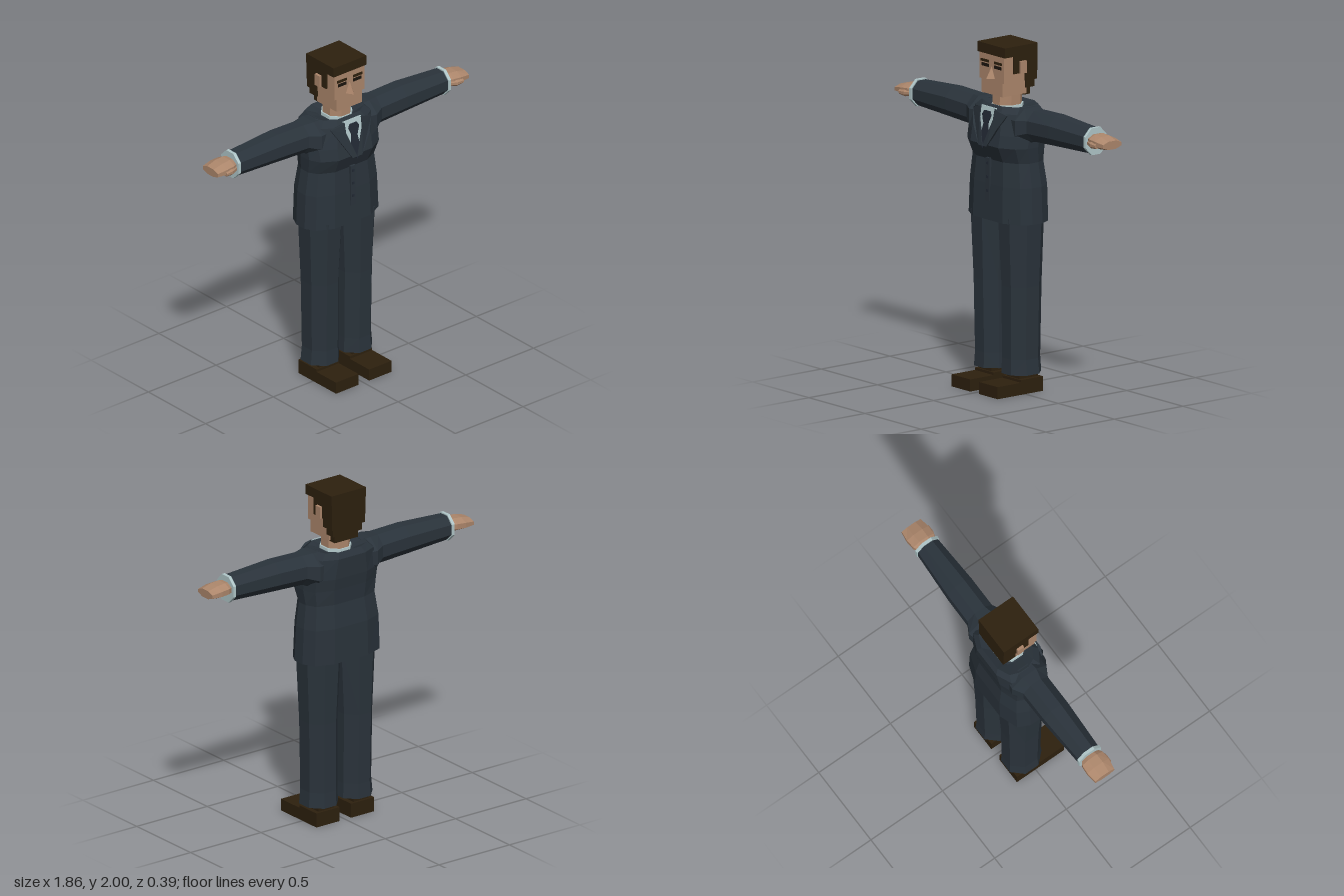
import * as THREE from 'three';

const mat = (name, color) => Object.assign(new THREE.MeshStandardMaterial({ color }), { name });

// Faceted skin through a list of rings, closed at both ends
function loft(rings) {
  const pos = [], n = rings[0].length;
  const tri = (a, b, c) => pos.push(...a, ...b, ...c);
  for (let r = 0; r < rings.length - 1; r++) {
    for (let i = 0; i < n; i++) {
      const j = (i + 1) % n, a = rings[r], b = rings[r + 1];
      tri(a[i], a[j], b[j]);
      tri(a[i], b[j], b[i]);
    }
  }
  const first = rings[0], last = rings[rings.length - 1];
  for (let i = 1; i < n - 1; i++) {
    tri(first[0], first[i + 1], first[i]);
    tri(last[0], last[i], last[i + 1]);
  }
  const g = new THREE.BufferGeometry();
  g.setAttribute('position', new THREE.Float32BufferAttribute(pos, 3));
  g.computeVertexNormals();
  return g;
}

// Octagons with flat front, top and sides
const octagon = (fn) => Array.from({ length: 8 }, (_, i) => {
  const a = (i + 0.5) * Math.PI / 4, k = 1 / Math.cos(Math.PI / 8);
  return fn(Math.cos(a) * k, Math.sin(a) * k);
});
// rows: [y, centre x, radius x, centre z, radius z]
const upright = (rows) => loft(rows.map(([y, x, rx, z, rz]) =>
  octagon((c, s) => [x + c * rx, y, z - s * rz])));
// rows: [x, centre y, radius y, centre z, radius z]
const sideways = (rows) => loft(rows.map(([x, y, ry, z, rz]) =>
  octagon((c, s) => [x, y + c * ry, z + s * rz])));

function box(x0, x1, y0, y1, z0, z1) {
  return new THREE.BoxGeometry(x1 - x0, y1 - y0, z1 - z0)
    .translate((x0 + x1) / 2, (y0 + y1) / 2, (z0 + z1) / 2);
}

// Thin cloth panel lying on the sloping chest
function chestPanel(points, offset) {
  const shape = new THREE.Shape(points.map(([x, y]) => new THREE.Vector2(x, y)));
  const g = new THREE.ExtrudeGeometry(shape, { depth: 0.007, bevelEnabled: false });
  const p = g.attributes.position;
  for (let i = 0; i < p.count; i++) {
    const bend = Math.max(0, Math.abs(p.getX(i)) - 0.105) * 0.5;
    p.setZ(i, p.getZ(i) + 0.13 - (p.getY(i) - 1.43) * 0.184 + offset - bend);
  }
  g.computeVertexNormals();
  return g;
}

// Flip a geometry to the other side of the body and restore its winding
function mirrored(geometry) {
  const g = geometry.index ? geometry.toNonIndexed() : geometry.clone();
  const p = g.attributes.position;
  for (let i = 0; i < p.count; i += 3) {
    const v = [0, 2, 1].map((k) => [-p.getX(i + k), p.getY(i + k), p.getZ(i + k)]);
    v.forEach((c, k) => p.setXYZ(i + k, ...c));
  }
  g.computeVertexNormals();
  return g;
}

export function createModel() {
  const model = new THREE.Group();
  model.name = 'suitedMan';
  const suit = mat('suit', 0x2a333b);
  const tieCloth = mat('tieCloth', 0x222934);
  const shirt = mat('shirt', 0xb0c6c8);
  const skin = mat('skin', 0xac866b);
  const brown = mat('darkBrown', 0x2d200e);
  const eyeDark = mat('eyeDark', 0x1c150e);

  const add = (name, geometry, material) => {
    const m = new THREE.Mesh(geometry, material);
    m.name = name;
    model.add(m);
  };
  const pair = (name, geometry, material) => {
    add(name + 'Left', geometry, material);
    add(name + 'Right', mirrored(geometry), material);
  };

  // Jacket body: y, half width, front z, back z
  const jacket = [
    [0.99, 0.265, 0.105, -0.187], [1.2, 0.256, 0.1, -0.185], [1.34, 0.236, 0.09, -0.167],
    [1.43, 0.247, 0.13, -0.175], [1.5, 0.25, 0.117, -0.185], [1.62, 0.21, 0.095, -0.192],
    [1.655, 0.17, 0.065, -0.172], [1.63, 0.095, 0.045, -0.13],
  ];
  add('jacketBody', loft(jacket.map(([y, w, f, b]) => {
    const d = (f - b) * 0.17;
    const half = [[0.5 * w, f], [0.87 * w, f - d], [w, f - 2.2 * d],
      [w, b + 2.2 * d], [0.87 * w, b + d * 0.8], [0.45 * w, b]];
    return [...half.map(([x, z]) => [x, y, z]),
      ...half.reverse().map(([x, z]) => [-x, y, z])];
  })), suit);

  // Shirt front, tie, lapels and button strip
  add('shirtFront', chestPanel([[0, 1.42], [0.075, 1.58], [0.065, 1.645], [-0.065, 1.645], [-0.075, 1.58]], 0), shirt);
  add('tieBlade', chestPanel([[0, 1.41], [0.035, 1.46], [0.018, 1.57], [-0.018, 1.57], [-0.035, 1.46]], 0.004), tieCloth);
  add('tieKnot', chestPanel([[0.02, 1.555], [0.038, 1.6], [0.025, 1.622], [-0.025, 1.622], [-0.038, 1.6], [-0.02, 1.555]], 0.009), tieCloth);
  pair('lapel', chestPanel([[0, 1.425], [0.035, 1.425], [0.105, 1.535], [0.15, 1.615], [0.105, 1.632], [0.062, 1.642], [0.06, 1.58]], 0.008), suit);
  add('buttonStrip', box(-0.017, 0.017, 1.1, 1.35, 0.088, 0.107), suit);
  for (const y of [1.16, 1.24, 1.32]) add('button', box(-0.008, 0.008, y - 0.008, y + 0.008, 0.102, 0.111), tieCloth);
  add('shirtCollar', upright([[1.6, 0, 0.088, -0.038, 0.092], [1.648, 0, 0.084, -0.038, 0.088]]), shirt);

  // Arms with padded sleeve heads, shirt cuffs and hands
  pair('sleeve', sideways([
    [0.15, 1.55, 0.1, -0.045, 0.11], [0.205, 1.55, 0.105, -0.045, 0.12],
    [0.268, 1.563, 0.088, -0.045, 0.085], [0.46, 1.57, 0.086, -0.045, 0.084],
    [0.77, 1.567, 0.071, -0.042, 0.069],
  ]), suit);
  pair('cuff', sideways([[0.767, 1.567, 0.078, -0.042, 0.076], [0.786, 1.567, 0.078, -0.042, 0.076]]), shirt);
  pair('hand', sideways([
    [0.78, 1.574, 0.034, -0.042, 0.055], [0.81, 1.576, 0.038, -0.043, 0.071],
    [0.865, 1.573, 0.036, -0.043, 0.075], [0.928, 1.568, 0.024, -0.043, 0.066],
  ]), skin);
  pair('thumb', sideways([
    [0.79, 1.565, 0.016, 0.012, 0.014], [0.83, 1.562, 0.02, 0.02, 0.02], [0.875, 1.562, 0.014, 0.025, 0.015],
  ]), skin);

  // Trousers and shoes
  pair('trouserLeg', upright([
    [0.11, 0.122, 0.104, -0.04, 0.11], [0.2, 0.12, 0.098, -0.04, 0.106],
    [0.62, 0.124, 0.1, -0.04, 0.112], [1.02, 0.122, 0.119, -0.038, 0.127],
  ]), suit);
  pair('shoeToe', box(0.04, 0.205, 0, 0.07, 0.03, 0.2), brown);
  pair('shoeHeel', box(0.04, 0.205, 0, 0.085, -0.13, 0.03), brown);
  pair('ankle', box(0.068, 0.178, 0.08, 0.13, -0.115, 0.02), brown);

  // Head, ears and nose
  add('neck', upright([[1.6, 0, 0.075, -0.038, 0.082], [1.73, 0, 0.077, -0.038, 0.08]]), skin);
  add('face', box(-0.11, 0.11, 1.79, 1.95, -0.14, 0.075), skin);
  add('jaw', box(-0.093, 0.093, 1.71, 1.79, -0.1, 0.073), skin);
  pair('ear', box(0.105, 0.135, 1.84, 1.91, -0.07, -0.028), skin);
  add('nose', loft([
    [[0.03, 1.807, 0.07], [-0.03, 1.807, 0.07], [0, 1.807, 0.116]],
    [[0.003, 1.872, 0.07], [-0.003, 1.872, 0.07], [0, 1.872, 0.078]],
  ]), skin);

  // Eyebrows and narrow eyes
  pair('eyebrow', box(0.025, 0.092, 1.893, 1.907, 0.072, 0.081), brown);
  pair('eye', box(0.025, 0.085, 1.866, 1.884, 0.071, 0.079), eyeDark);

  // Hair stepped down around the ears and nape
  add('hairTop', box(-0.122, 0.122, 1.942, 2, -0.16, 0.08), brown);
  add('hairSides', box(-0.119, 0.119, 1.84, 1.945, -0.16, 0.012), brown);
  add('hairBack', box(-0.117, 0.117, 1.79, 1.85, -0.16, -0.075), brown);
  add('hairLower', box(-0.103, 0.103, 1.745, 1.8, -0.152, -0.09), brown);
  add('hairNape', box(-0.082, 0.082, 1.7, 1.75, -0.138, -0.09), brown);

  return model;
}
